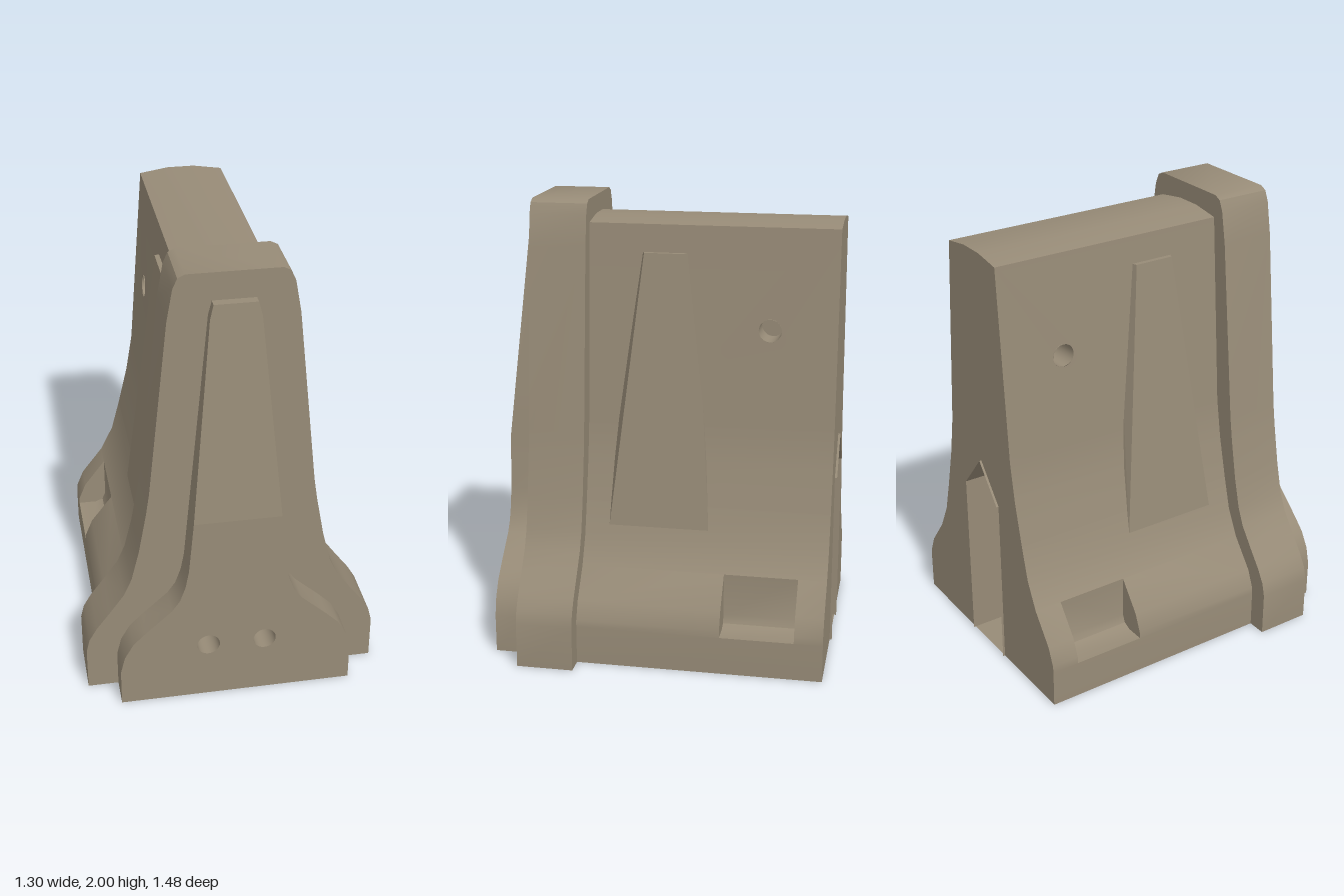
import * as THREE from 'three';
import { mergeGeometries, toCreasedNormals } from 'three/addons/utils/BufferGeometryUtils.js';
import { ConvexGeometry } from 'three/addons/geometries/ConvexGeometry.js';

const BACK = -0.73, JOINT = 0.355, FACE = 0.605;
const HOLE_R = 0.05;

// Half profiles as [half width, height], from the ground up
const BODY = [[0.565, 0], [0.565, 0.17], [0.563, 0.2], [0.53, 0.28], [0.43, 0.41], [0.37, 0.53],
  [0.33, 0.68], [0.285, 0.87], [0.255, 1.05], [0.19, 1.9]];
const COLLAR = [[0.65, 0], [0.65, 0.2], [0.635, 0.26], [0.6, 0.32], [0.54, 0.4], [0.475, 0.49], [0.44, 0.57],
  [0.405, 0.71], [0.37, 0.9], [0.355, 1], [0.27, 1.8], [0.245, 1.94], [0.225, 1.985], [0.195, 2]];
const PLATE_LOW = [[0.515, 0], [0.515, 0.17], [0.495, 0.25], [0.455, 0.32], [0.4, 0.375], [0.285, 0.48],
  [0.25, 0.53], [0.225, 0.6], [0.21, 0.68], [0.188, 0.92]];
const PLATE_HIGH = [[0.188, 0.92], [0.105, 1.82], [0.09, 1.88]];

const POCKET = { low: 0.17, high: 0.41, z0: -0.605, z1: -0.28 };

const v2 = (pts) => pts.map(([x, y]) => new THREE.Vector2(x, y));
const mirrored = (half) => [...half, ...half.map(([x, y]) => [-x, y]).reverse()];
const circle = (x, y) => new THREE.Path().absarc(x, y, HOLE_R, 0, Math.PI * 2, true);

export function createModel() {
  const group = new THREE.Group();
  const concrete = new THREE.MeshStandardMaterial({ color: 0x978b77, side: THREE.DoubleSide });
  concrete.name = 'concrete';

  function add(name, geometry, parent = group) {
    const mesh = new THREE.Mesh(geometry, concrete);
    mesh.name = name;
    parent.add(mesh);
    return mesh;
  }

  // Open wall swept along z from a line of [x, y] points
  function strip(pts, z0, z1) {
    const pos = [], index = [];
    pts.forEach(([x, y], i) => {
      pos.push(x, y, z0, x, y, z1);
      if (i) index.push(2 * i - 2, 2 * i - 1, 2 * i, 2 * i - 1, 2 * i + 1, 2 * i);
    });
    const g = new THREE.BufferGeometry();
    g.setAttribute('position', new THREE.Float32BufferAttribute(pos, 3));
    g.setIndex(index);
    return toCreasedNormals(g, 0.5);
  }

  // Solid slab with a mirrored outline
  function slab(half, z0, z1, holes = false) {
    const shape = new THREE.Shape(v2(mirrored(half)));
    if (holes) shape.holes.push(circle(-0.125, 0.275), circle(0.125, 0.275));
    const g = new THREE.ExtrudeGeometry(shape, { depth: z1 - z0, bevelEnabled: false, curveSegments: 16 });
    g.translate(0, 0, z0);
    return toCreasedNormals(g, 0.5);
  }

  // Curved side wall in height bands, with the pocket and round hole left open
  function sideWall() {
    const parts = [];
    for (let i = 1; i < BODY.length; i++) {
      const [xa, ya] = BODY[i - 1], [xb, yb] = BODY[i];
      const inPocket = ya >= POCKET.low && yb <= POCKET.high;
      const spans = inPocket ? [[BACK, POCKET.z0], [POCKET.z1, JOINT]] : [[BACK, JOINT]];
      for (const [z0, z1] of spans) {
        const shape = new THREE.Shape(v2([[-z1, ya], [-z0, ya], [-z0, yb], [-z1, yb]]));
        if (i === BODY.length - 1) shape.holes.push(circle(0.44, 1.46));
        const g = new THREE.ShapeGeometry(shape, 16);
        const p = g.attributes.position;
        for (let k = 0; k < p.count; k++) {
          const u = p.getX(k), y = p.getY(k);
          p.setXYZ(k, xa + (xb - xa) * (y - ya) / (yb - ya), y, -u);
        }
        parts.push(g);
      }
    }
    return toCreasedNormals(mergeGeometries(parts), 0.5);
  }

  // Front collar and raised front plate, whose upper part leans back
  add('collar', slab(COLLAR, JOINT, FACE, true));
  add('frontPlateLower', slab(PLATE_LOW, FACE, 0.74, true));
  const upper = slab(PLATE_HIGH, FACE, 0.74);
  const p = upper.attributes.position;
  for (let i = 0; i < p.count; i++) {
    if (p.getZ(i) > 0.7) p.setZ(i, 0.74 - 0.095 * (p.getY(i) - 0.92) / 0.96);
  }
  add('frontPlateUpper', toCreasedNormals(upper, 0.5));

  // Crowned top and flat base of the body
  const crown = [[0.19, 1.9], [0.06, 1.92], [-0.06, 1.92], [-0.19, 1.9]];
  add('bodyTop', strip(crown, BACK, JOINT));
  const base = add('bodyBase', new THREE.PlaneGeometry(1.13, JOINT - BACK).rotateX(Math.PI / 2));
  base.position.z = (BACK + JOINT) / 2;

  // Back wall with a pointed slot running forward through the body
  const slot = [[-0.137, 0], [-0.137, 0.785], [0, 0.95], [0.137, 0.785], [0.137, 0]];
  const outline = [...BODY, ...crown.slice(1, 3), ...BODY.map(([x, y]) => [-x, y]).reverse(), ...slot];
  const backWall = new THREE.ShapeGeometry(new THREE.Shape(v2(outline.map(([x, y]) => [-x, y]))));
  add('backWall', backWall.rotateY(Math.PI)).position.z = BACK;
  add('slotLining', strip(slot, -0.74, JOINT));

  // Side details, built on the left and mirrored to the right
  for (const s of [1, -1]) {
    const side = new THREE.Group();
    side.name = s > 0 ? 'leftSide' : 'rightSide';
    side.scale.x = s;
    group.add(side);

    add('sideWall', sideWall(), side);

    // Tapered buttress rib
    const rib = [
      [0.22, 1.78, 0.11], [0.22, 1.78, -0.07], [0.36, 0.55, 0.25], [0.36, 0.55, -0.2],
      [0.12, 1.78, 0.15], [0.12, 1.78, -0.1], [0.25, 0.55, 0.31], [0.25, 0.55, -0.22],
    ].map((c) => new THREE.Vector3(...c));
    add('rib', new ConvexGeometry(rib), side);

    // Lifting pocket: rounded back and floor, plus two end walls
    add('pocketLining', strip([[0.565, 0.17], [0.48, 0.17], [0.445, 0.185], [0.43, 0.22], [0.43, 0.41]],
      POCKET.z0, POCKET.z1), side);
    const end = new THREE.Shape(v2([[0.43, 0.17], ...BODY.slice(1, 5)]));
    add('pocketBackEnd', new THREE.ShapeGeometry(end), side).position.z = POCKET.z0;
    add('pocketFrontEnd', new THREE.ShapeGeometry(end), side).position.z = POCKET.z1;

    // Blind round hole
    const bore = new THREE.LatheGeometry(v2([[0, 0], [HOLE_R, 0], [HOLE_R, 0.12]]), 20);
    add('sideHole', toCreasedNormals(bore.rotateZ(-Math.PI / 2), 0.5), side).position.set(0.104, 1.46, -0.44);
  }
  return group;
}
